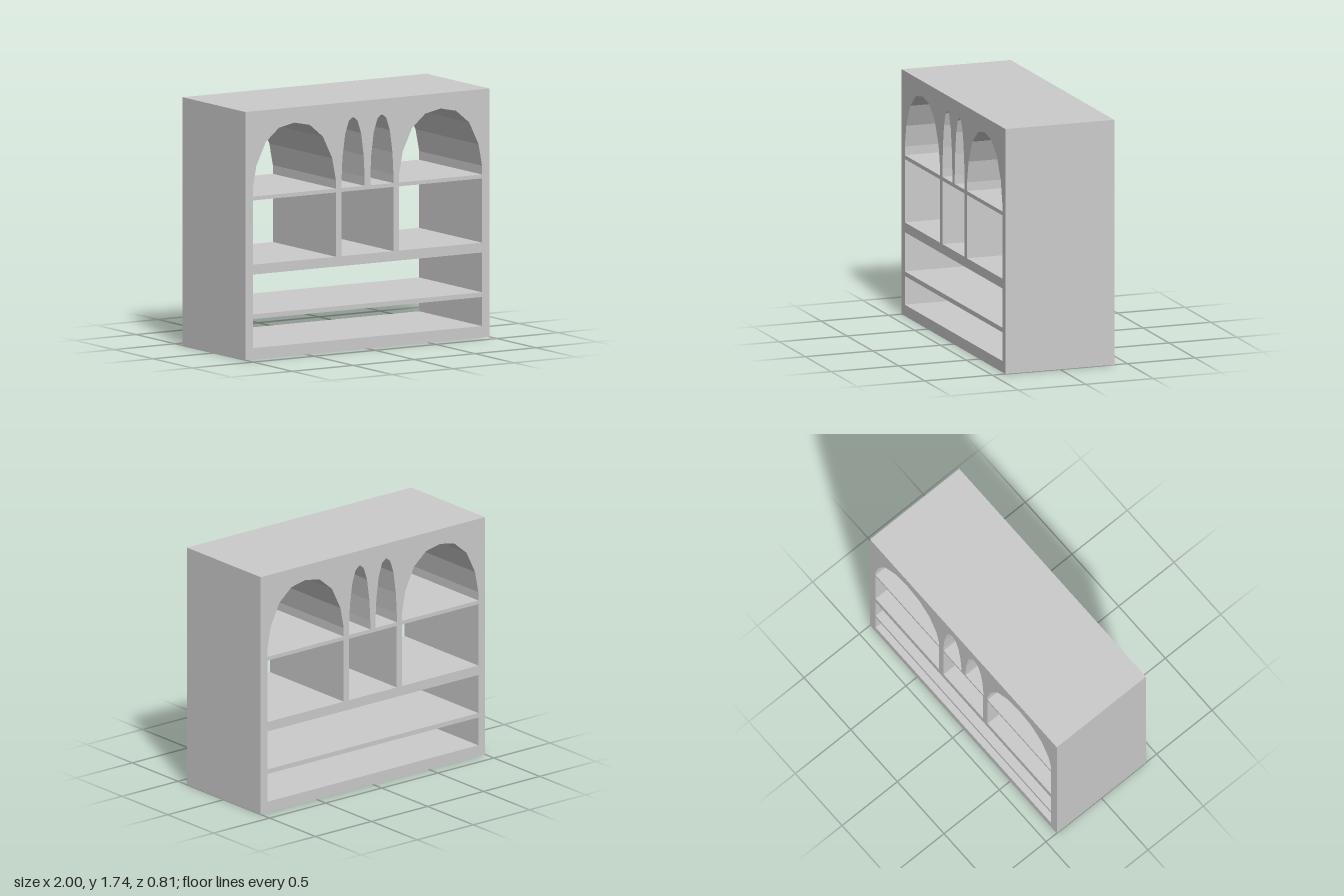
import * as THREE from 'three';

const HEIGHT = 1.735;
const DEPTH = 0.806;

// Closed outline from a list of [x, y] points
const outline = (points, Type) => new Type(points.map(([x, y]) => new THREE.Vector2(x, y)));

const rect = (x0, x1, y0, y1) => [[x0, y0], [x1, y0], [x1, y1], [x0, y1]];

// Faceted arch: [share of half width, height] from the springing line to the crown
const ARCH = [[1, 1.139], [1, 1.2], [0.915, 1.353], [0.69, 1.511], [0.372, 1.602]];

function arch(cx, halfWidth) {
  const side = (s) => ARCH.map(([k, y]) => [cx + s * k * halfWidth, y]);
  return [...side(1), [cx, 1.628], ...side(-1).reverse()];
}

export function createModel() {
  const group = new THREE.Group();
  group.name = 'shelfUnit';

  const openings = [
    // two full-width lower bays
    rect(-0.94, 0.94, 0.08, 0.283),
    rect(-0.94, 0.94, 0.316, 0.594),
    // centre compartment
    rect(-0.212, 0.212, 0.663, 1.112),
  ];
  // mirrored side compartments, wide arches and narrow arches
  for (const s of [-1, 1]) {
    const [a, b] = [s * 0.26, s * 0.94].sort((p, q) => p - q);
    openings.push(rect(a, b, 0.663, 1.112), arch(s * 0.6, 0.34), arch(s * 0.118, 0.095));
  }

  // block pierced from front to back by every opening
  const front = outline(rect(-1, 1, 0, HEIGHT), THREE.Shape);
  front.holes = openings.map((points) => outline(points, THREE.Path));
  const geometry = new THREE.ExtrudeGeometry(front, { depth: DEPTH, bevelEnabled: false });
  geometry.translate(0, 0, -DEPTH / 2);

  const material = new THREE.MeshStandardMaterial({ color: 0xcccccc, flatShading: true });
  const frame = new THREE.Mesh(geometry, material);
  frame.name = 'shelfFrame';
  group.add(frame);
  return group;
}
